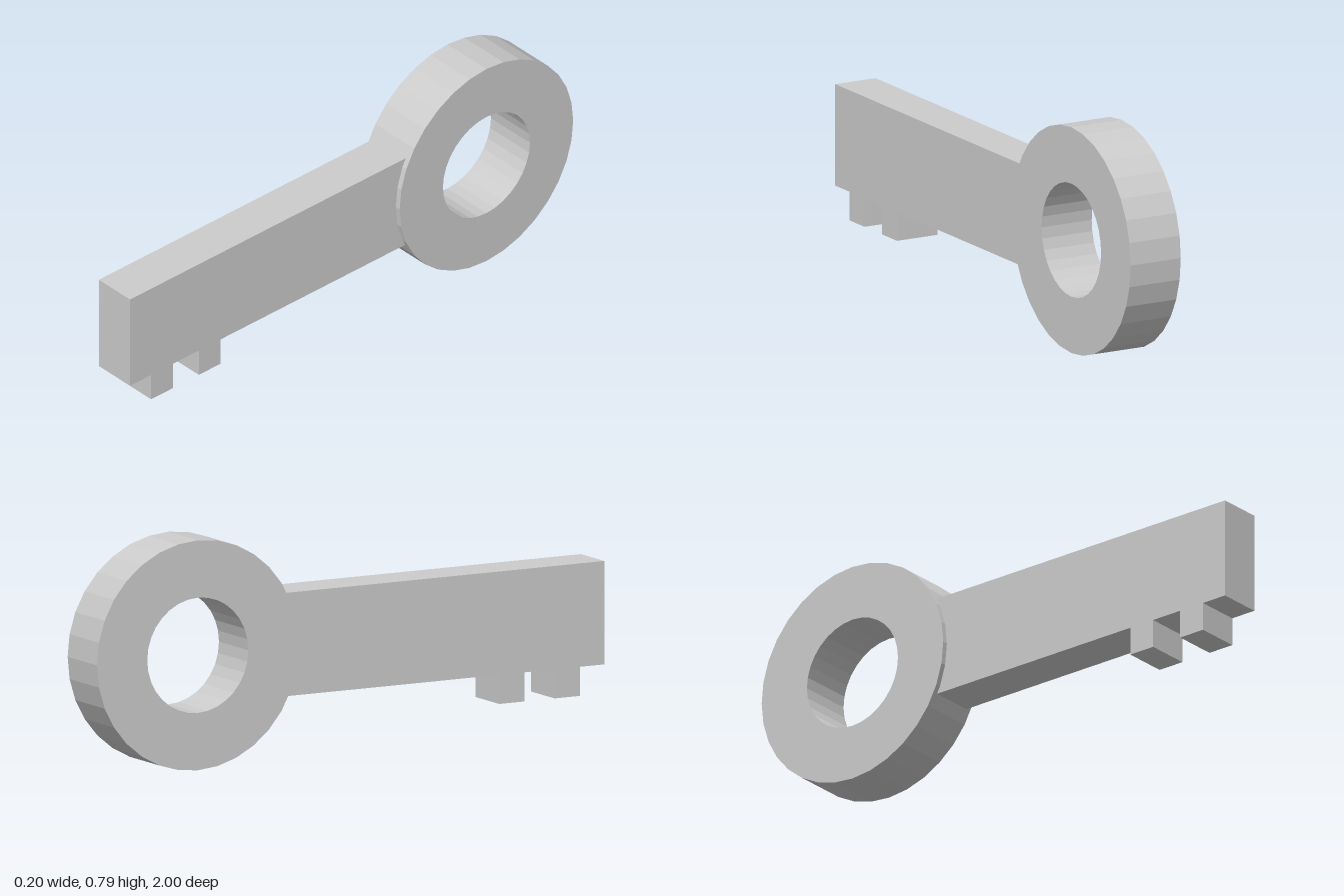
import * as THREE from 'three';

const material = new THREE.MeshStandardMaterial({ color: 0xcccccc, flatShading: true });

// Extrudes a side profile drawn in (z, y) to a plate centred on x = 0.
function plate(name, shape, width) {
  const geometry = new THREE.ExtrudeGeometry(shape, {
    depth: width,
    bevelEnabled: false,
    curveSegments: 16, // arcs get twice this: 32 sides
  });
  geometry.translate(0, 0, -width / 2);
  geometry.rotateY(-Math.PI / 2);
  const mesh = new THREE.Mesh(geometry, material);
  mesh.name = name;
  return mesh;
}

export function createModel() {
  const group = new THREE.Group();
  group.name = 'key';

  // Round bow with a hole
  const cz = -0.605, cy = 0.395;
  const ring = new THREE.Shape().absarc(cz, cy, 0.395, 0, Math.PI * 2, false);
  ring.holes.push(new THREE.Path().absarc(cz, cy, 0.198, 0, Math.PI * 2, true));
  group.add(plate('bow', ring, 0.197));

  // Blade with two teeth on its lower edge, its end buried in the bow
  const top = 0.575, bottom = 0.22, toothBottom = 0.12;
  const blade = new THREE.Shape().moveTo(-0.3, top).lineTo(-0.3, bottom);
  for (const [back, front] of [[0.588, 0.687], [0.805, 0.904]]) {
    blade.lineTo(back, bottom).lineTo(back, toothBottom);
    blade.lineTo(front, toothBottom).lineTo(front, bottom);
  }
  blade.lineTo(1, bottom).lineTo(1, top).closePath();
  group.add(plate('blade', blade, 0.158));

  return group;
}
